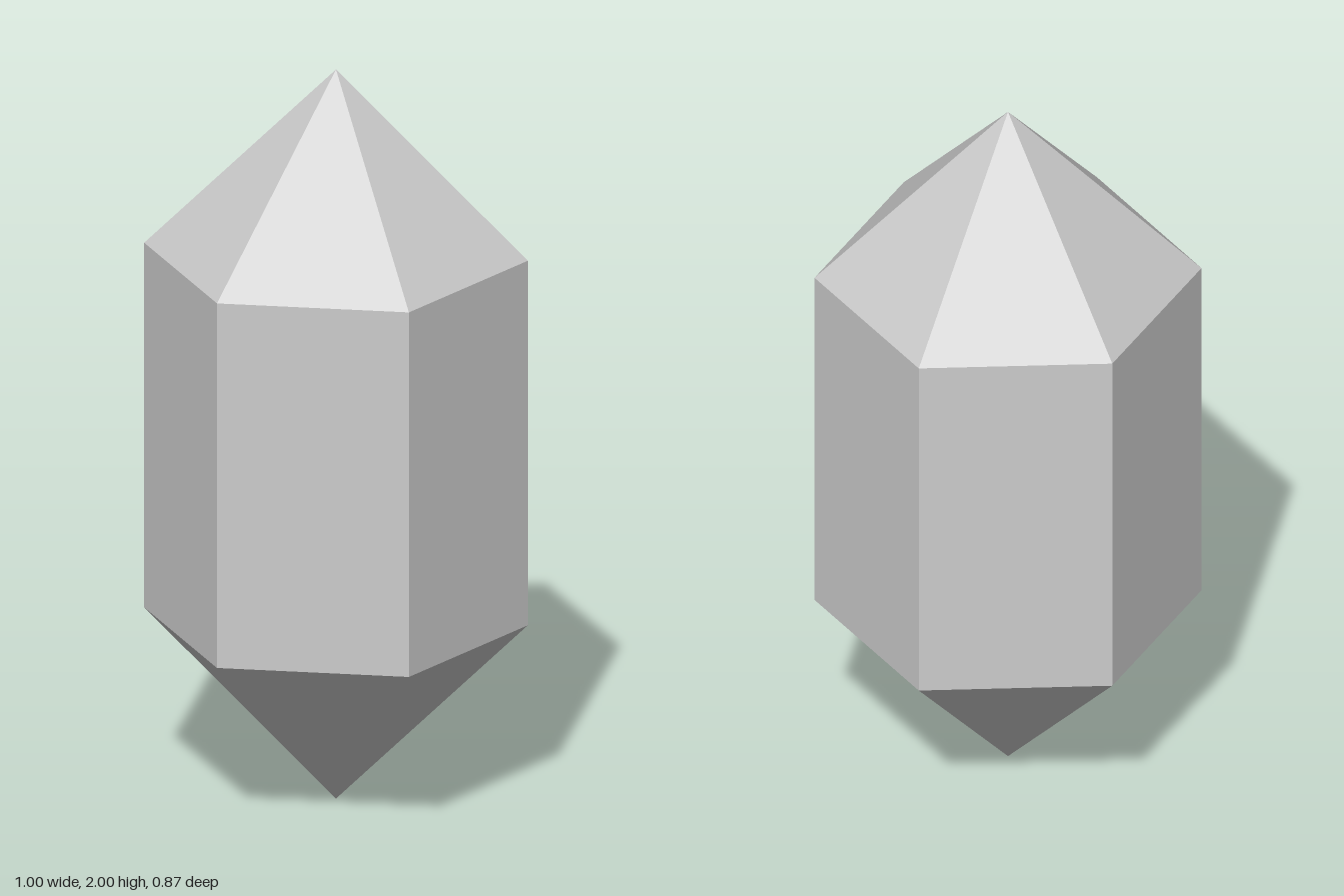
import * as THREE from 'three';

const SIDES = 6;
const RADIUS = 0.5;
const START = Math.PI / SIDES; // puts corners on the x axis and flat faces toward ±z

export function createModel() {
  const crystal = new THREE.Group();
  crystal.name = 'crystal';
  const material = new THREE.MeshStandardMaterial({ color: 0xcccccc, flatShading: true });

  // One open six-sided section standing on height y
  function addSection(name, topRadius, bottomRadius, y, height) {
    const geometry = new THREE.CylinderGeometry(topRadius, bottomRadius, height, SIDES, 1, true, START);
    geometry.translate(0, y + height / 2, 0);
    const mesh = new THREE.Mesh(geometry, material);
    mesh.name = name;
    crystal.add(mesh);
  }

  addSection('lowerPoint', RADIUS, 0, 0, 0.5);
  addSection('prismBody', RADIUS, RADIUS, 0.5, 1);
  addSection('upperPoint', 0, RADIUS, 1.5, 0.5);

  return crystal;
}
